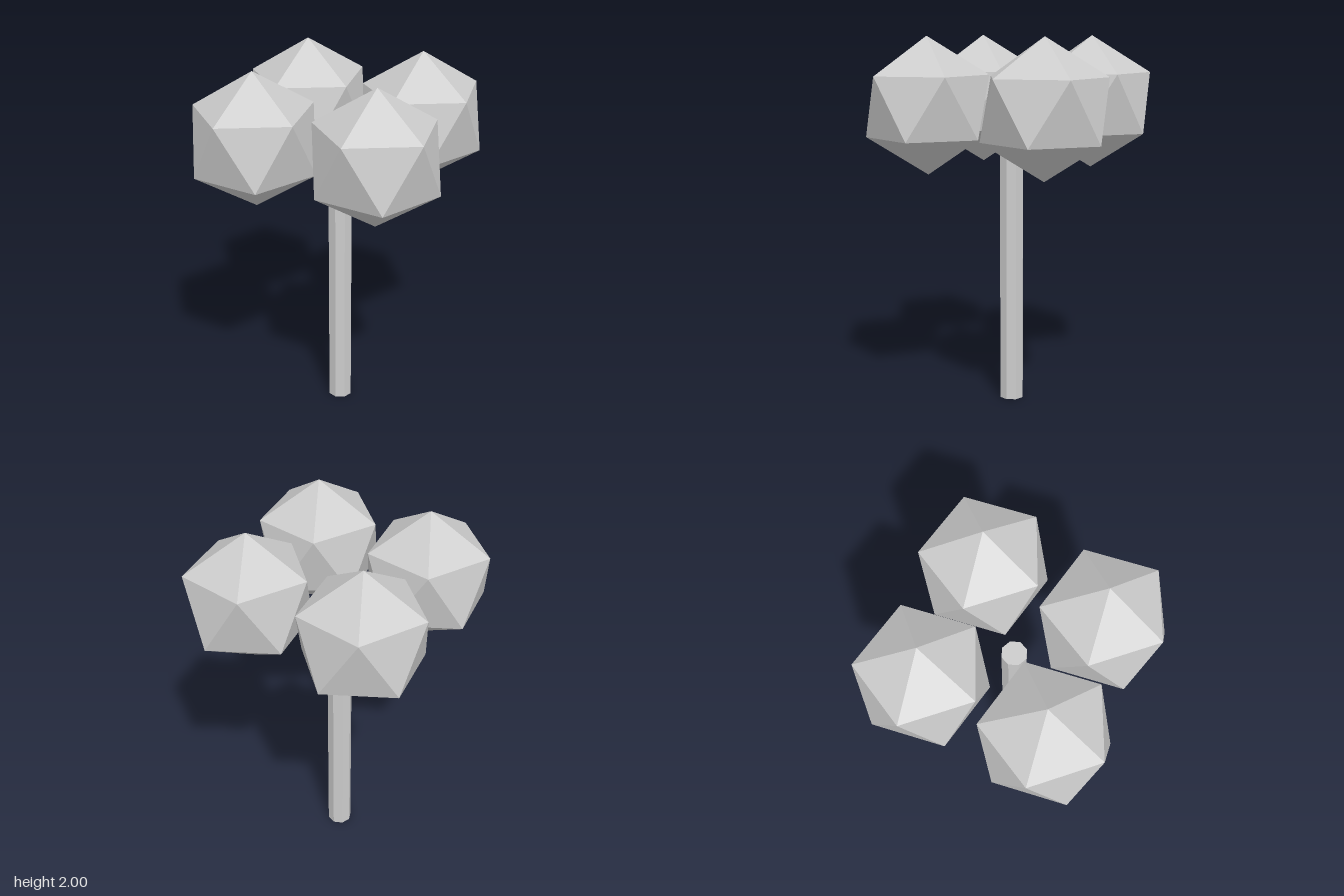
import * as THREE from 'three';

export function createModel() {
  const model = new THREE.Group();
  model.name = 'tree';

  const grey = new THREE.MeshStandardMaterial({ color: 0xcccccc, flatShading: true });
  grey.name = 'light grey';

  // Octagonal trunk standing on the ground
  const trunkHeight = 1.57;
  const trunk = new THREE.Mesh(new THREE.CylinderGeometry(0.067, 0.067, trunkHeight, 8), grey);
  trunk.name = 'trunk';
  trunk.position.y = trunkHeight / 2;
  model.add(trunk);

  // Icosahedron tipped so that one corner points straight up
  const clumpGeometry = new THREE.IcosahedronGeometry(0.36, 0);
  clumpGeometry.rotateZ(-Math.atan(2 / (1 + Math.sqrt(5))));

  // Four leaf clumps around the trunk, all turned the same way
  const reach = 0.467;
  const clumps = { left: [1, 0], right: [-1, 0], front: [0, 1], back: [0, -1] };
  for (const [side, [x, z]] of Object.entries(clumps)) {
    const clump = new THREE.Mesh(clumpGeometry, grey);
    clump.name = `${side}LeafClump`;
    clump.position.set(x * reach, 1.64, z * reach);
    model.add(clump);
  }

  return model;
}
